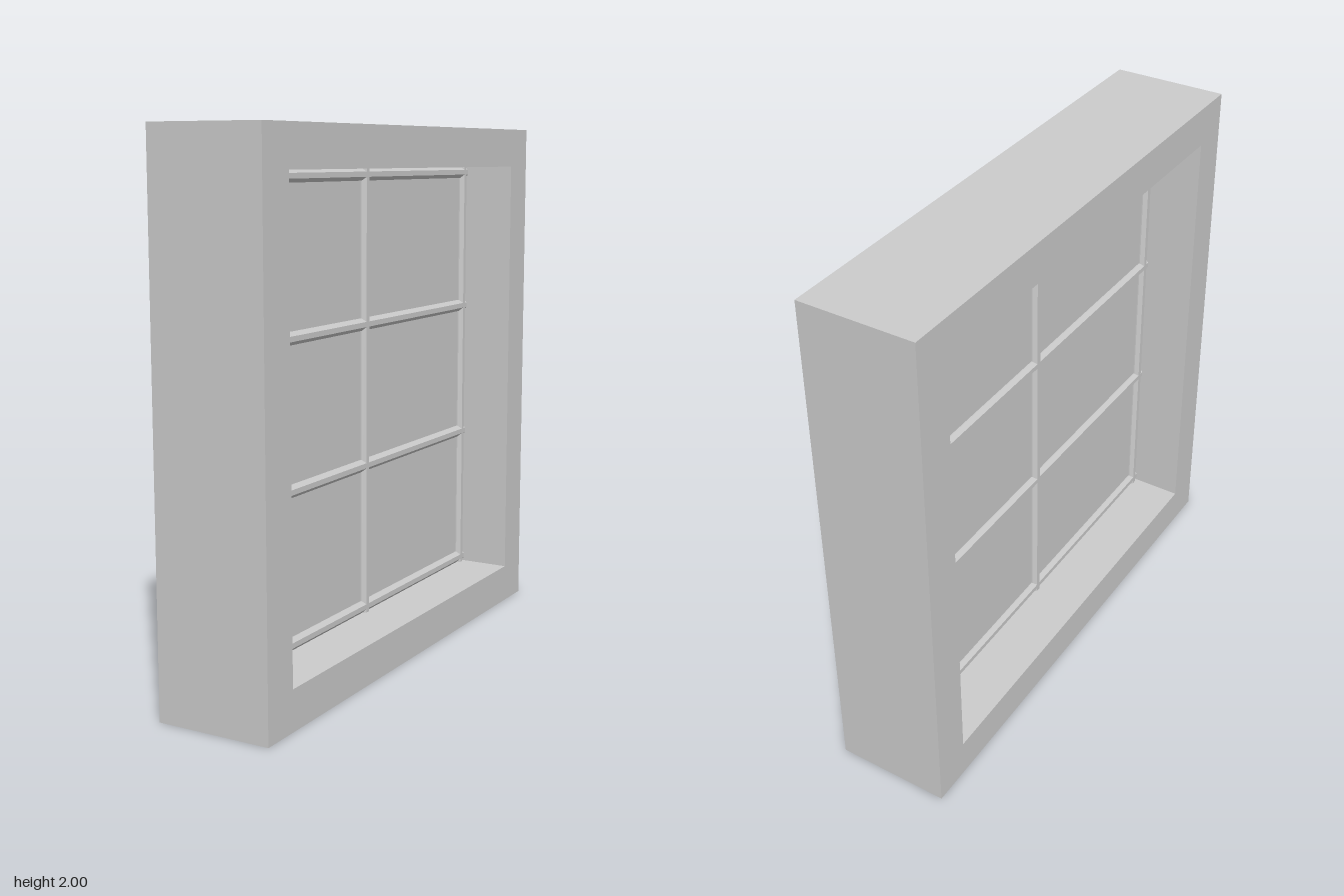
import * as THREE from 'three';

export function createModel() {
  const model = new THREE.Group();
  const material = new THREE.MeshStandardMaterial({ color: 0xcccccc, flatShading: true });
  const add = (name, geometry, x = 0, y = 0, z = 0) => {
    const mesh = new THREE.Mesh(geometry, material);
    mesh.name = name;
    mesh.position.set(x, y, z);
    model.add(mesh);
    return mesh;
  };

  const depth = 0.44; // wall frame thickness along x
  const open = 0.85; // half size of the opening
  const half = 0.0235; // half thickness of a glazing bar
  const edge = open - half; // centre line of the border bars

  // Square outer frame with a square opening
  const square = (Type, s) =>
    new Type([[-s, -s], [s, -s], [s, s], [-s, s]].map(([a, b]) => new THREE.Vector2(a, b)));
  const outline = square(THREE.Shape, 1);
  outline.holes.push(square(THREE.Path, open));
  const frame = new THREE.ExtrudeGeometry(outline, { depth, bevelEnabled: false });
  frame.translate(0, 0, -depth / 2).rotateY(Math.PI / 2);
  add('frame', frame, 0, 1, 0);

  // Eight-sided bars with flats facing outwards
  const bar = () =>
    new THREE.CylinderGeometry(half / Math.cos(Math.PI / 8), half / Math.cos(Math.PI / 8), open * 2, 8)
      .rotateY(Math.PI / 8);

  // Upright bars: two at the jambs, one in the middle
  for (const z of [-edge, 0, edge]) add(z ? 'jambBar' : 'verticalGlazingBar', bar(), 0, 1, z);

  // Level bars: sill, two dividers and head
  for (const y of [-edge, -0.27, 0.27, edge]) {
    const name = Math.abs(y) === edge ? 'borderBar' : 'horizontalGlazingBar';
    add(name, bar().rotateX(Math.PI / 2), 0, 1 + y, 0);
  }

  // Thin glass sheet running through the bars
  add('glass', new THREE.BoxGeometry(0.01, open * 2, open * 2), 0, 1, 0);

  return model;
}
